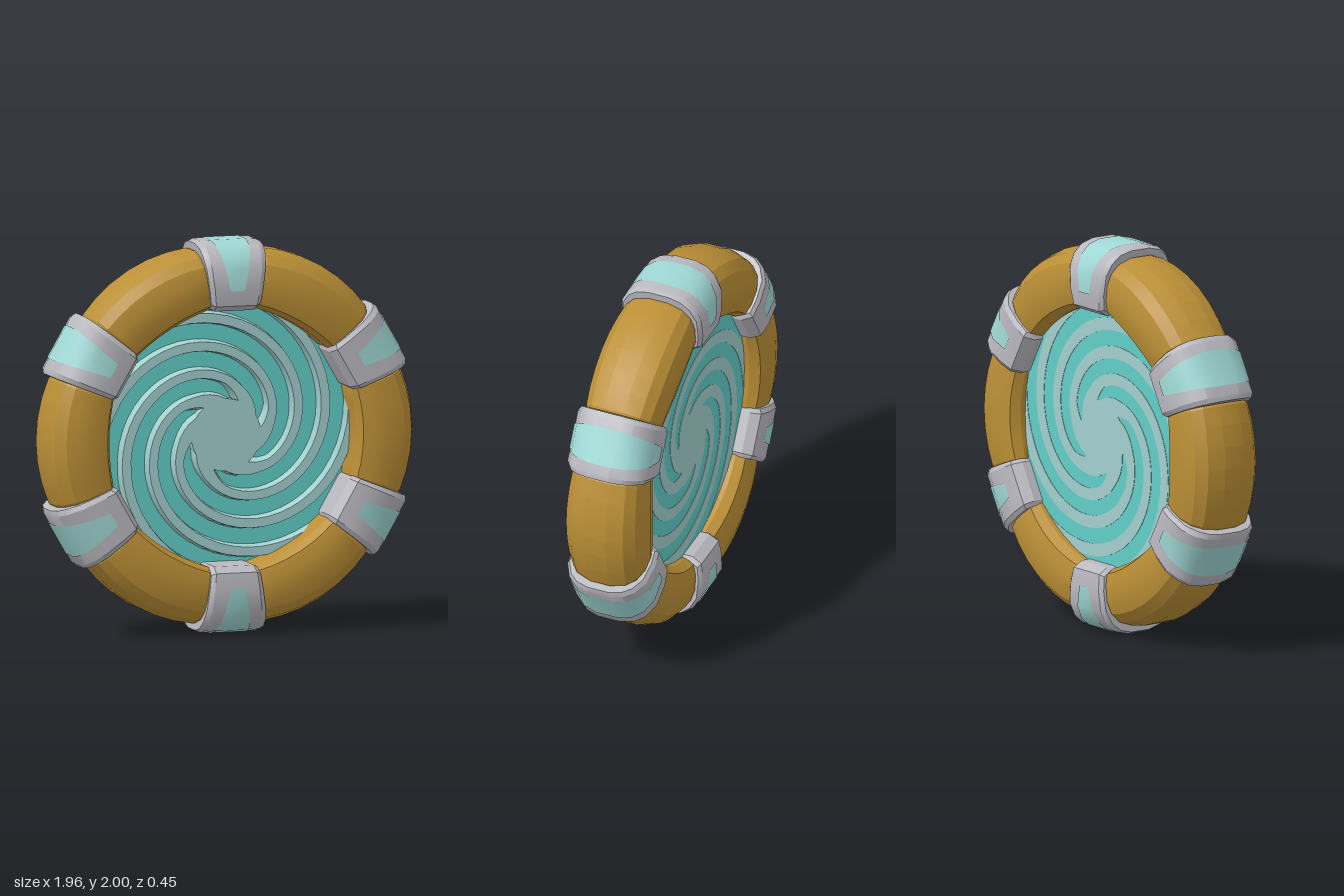
import * as THREE from 'three';
import { toCreasedNormals } from 'three/addons/utils/BufferGeometryUtils.js';

const mat = (name, color) => Object.assign(new THREE.MeshStandardMaterial({ color }), { name });

// Closed loft through rings that run counter-clockwise about the travel direction
function loft(rings, crease) {
  const n = rings[0].length, pos = [], idx = [];
  rings.forEach(r => r.forEach(p => pos.push(...p)));
  for (let i = 0; i < rings.length - 1; i++) {
    for (let j = 0; j < n; j++) {
      const a = i * n + j, b = i * n + (j + 1) % n;
      idx.push(a, b, a + n, b, b + n, a + n);
    }
  }
  const last = (rings.length - 1) * n;
  for (let j = 1; j < n - 1; j++) {
    idx.push(0, j + 1, j, last, last + j, last + j + 1);
  }
  const g = new THREE.BufferGeometry();
  g.setAttribute('position', new THREE.Float32BufferAttribute(pos, 3));
  g.setIndex(idx);
  return toCreasedNormals(g, crease);
}

// Half profile [radius, z] completed by its mirror image behind z = 0
const mirrorZ = half => [...half, ...half.slice().reverse().map(([r, z, ...w]) => [r, -z, ...w])];
const scaleProfile = (pts, mid, s) => pts.map(([r, z]) => [mid + (r - mid) * s, z * s]);

export function createModel() {
  const gold = mat('gold', 0xbb8f36);
  const grey = mat('grey metal', 0xb9b9c0);
  const aqua = mat('pale aqua glass', 0x9fd8d5);
  const teal = mat('teal', 0x62cec8);
  const pale = mat('pale swirl', 0xa3d0ce);
  aqua.side = THREE.DoubleSide;

  const model = new THREE.Group();
  model.name = 'portal';
  const ring = new THREE.Group();
  ring.name = 'ring';
  ring.position.y = 1;
  model.add(ring);
  const add = (parent, name, geo, m) => {
    const mesh = new THREE.Mesh(geo, m);
    mesh.name = name;
    parent.add(mesh);
    return mesh;
  };

  // Curved gold segment, centred on angle 0, slightly bulged in the middle
  const goldProfile = mirrorZ([[0.655, 0.14], [0.68, 0.19], [0.74, 0.207], [0.83, 0.21],
    [0.9, 0.19], [0.95, 0.145], [0.98, 0.06]]);
  const goldRings = [-19.8, -19, -13, -6.5, 0, 6.5, 13, 19, 19.8].map(deg => {
    const a = THREE.MathUtils.degToRad(deg);
    const s = Math.abs(deg) > 19.5 ? 0.9 : 1 - 0.07 * (deg / 19) ** 2;
    return scaleProfile(goldProfile, 0.815, s).map(([r, z]) => [r * Math.cos(a), r * Math.sin(a), z]);
  });
  const goldGeo = loft(goldRings, 0.35);

  // Wedge-shaped clamp, wider on the outside, with bevelled ends
  const clampProfile = mirrorZ([[0.65, 0.16], [0.68, 0.21], [0.76, 0.222], [0.87, 0.217],
    [0.94, 0.18], [0.98, 0.13], [0.998, 0.06]]);
  const halfWidth = r => 0.125 + 0.05 * (r - 0.65) / 0.35;
  const clampGeo = loft([-1, -0.84, 0.84, 1].map(u =>
    scaleProfile(clampProfile, 0.825, Math.abs(u) === 1 ? 0.93 : 1)
      .map(([r, z]) => [r, u * halfWidth(r), z])), 0.5);

  // Glass inlay wrapping over the outside of the clamp: [radius, z, half width]
  const inlay = mirrorZ([[0.76, 0.222, 0.038], [0.87, 0.217, 0.062], [0.94, 0.18, 0.078],
    [0.98, 0.13, 0.088], [0.998, 0.06, 0.095]]);
  const inlayPos = [], inlayIdx = [];
  inlay.forEach(([r, z, w], i) => {
    const R = 0.825 + (r - 0.825) * 1.02, Z = z * 1.02;
    inlayPos.push(R, -w, Z, R, w, Z);
    if (i) inlayIdx.push(2 * i - 2, 2 * i, 2 * i - 1, 2 * i - 1, 2 * i, 2 * i + 1);
  });
  const inlayRaw = new THREE.BufferGeometry();
  inlayRaw.setAttribute('position', new THREE.Float32BufferAttribute(inlayPos, 3));
  inlayRaw.setIndex(inlayIdx);
  const inlayGeo = toCreasedNormals(inlayRaw, 0.5);

  for (let i = 0; i < 6; i++) {
    const a = i * Math.PI / 3;
    add(ring, 'goldSegment', goldGeo, gold).rotation.z = a;
    const clamp = new THREE.Group();
    clamp.name = 'clamp';
    clamp.rotation.z = a + Math.PI / 6;
    add(clamp, 'clampBand', clampGeo, grey);
    add(clamp, 'clampInlay', inlayGeo, aqua);
    ring.add(clamp);
  }

  // Portal disc, flush with the swirl at the back
  const swirl = new THREE.Group();
  swirl.name = 'swirl';
  ring.add(swirl);
  const back = -0.112, base = -0.02, top = 0.035;
  const disc = add(swirl, 'portalDisc', new THREE.CylinderGeometry(0.69, 0.69, 0.09, 48), teal);
  disc.rotation.x = Math.PI / 2;
  disc.position.z = -0.065;

  const hub = add(swirl, 'swirlHub', new THREE.CylinderGeometry(0.185, 0.185, top - back, 36), pale);
  hub.rotation.x = Math.PI / 2;
  hub.position.z = (top + back) / 2;

  // Raised spiral arms with sloping sides, flaring into the hub
  const armRings = [];
  for (let i = 0; i <= 28; i++) {
    const r = 0.17 + 0.51 * i / 28;
    const mid = THREE.MathUtils.degToRad(56 - (0.65 - r) / 0.0025);
    const w = THREE.MathUtils.degToRad(13.5 + 16 * Math.max(0, 1 - (r - 0.17) / 0.09));
    const at = (k, z) => [r * Math.cos(mid + k * w), r * Math.sin(mid + k * w), z];
    armRings.push([at(1, base), at(0.72, top), at(-0.72, top), at(-1, base), at(-1, back), at(1, back)]);
  }
  const armGeo = loft(armRings, 0.4);
  for (let i = 0; i < 6; i++) {
    add(swirl, 'swirlArm', armGeo, pale).rotation.z = i * Math.PI / 3;
  }
  return model;
}
